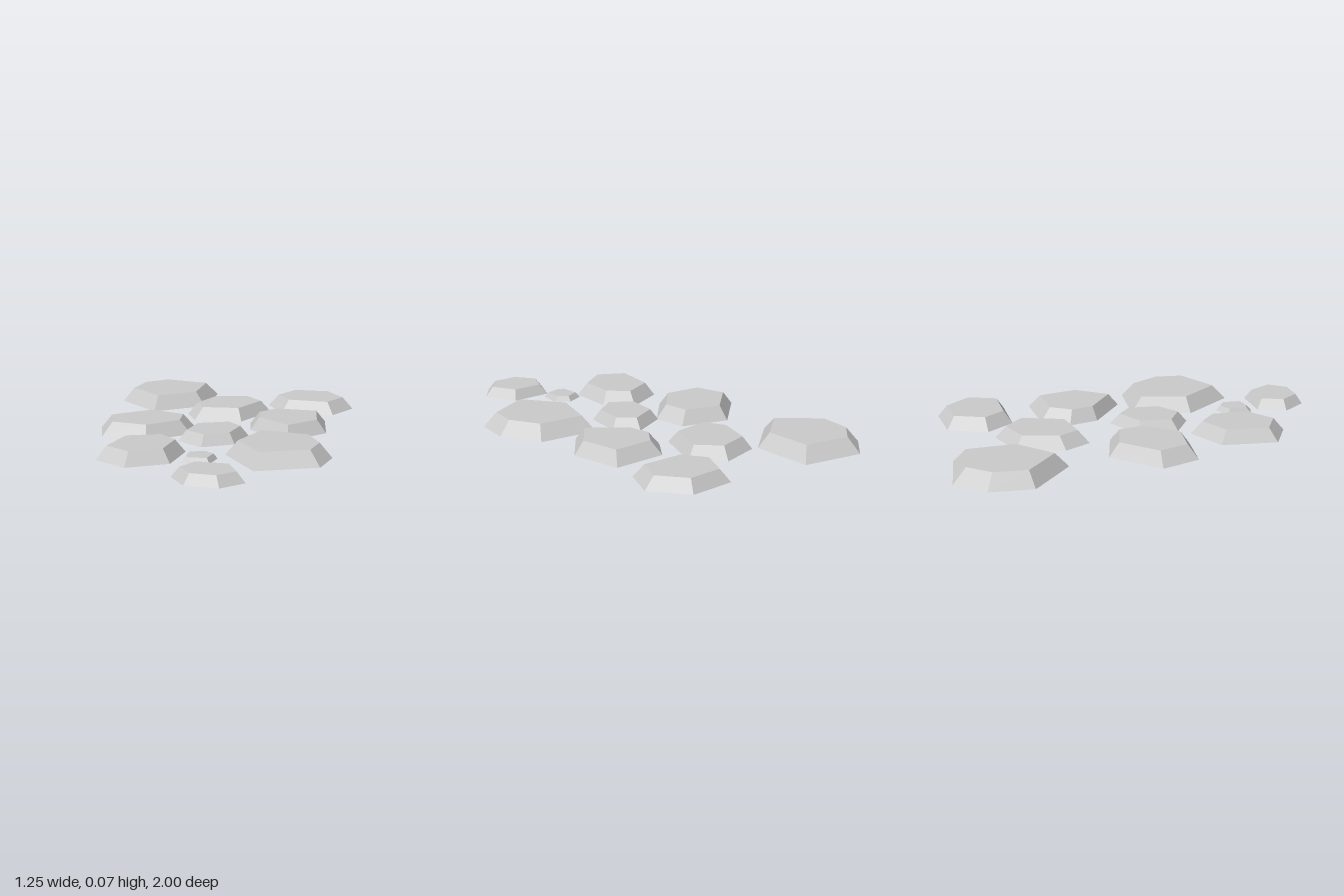
import * as THREE from 'three';

const MID_HEIGHT = 0.036; // every stone is centred on this level
const TOP_SCALE = 0.76;   // top face relative to the base outline

// Each stone: thickness, then its base outline as x, z pairs, clockwise from above
const STONES = [
  [0.072, [-0.45, -1, -0.15, -0.92, -0.17, -0.61, -0.41, -0.44, -0.63, -0.67, -0.59, -0.88]],
  [0.06, [0.27, -0.84, 0.5, -0.83, 0.62, -0.65, 0.53, -0.48, 0.26, -0.51, 0.17, -0.66]],
  [0.06, [0.08, -0.65, 0.2, -0.51, 0.08, -0.26, -0.16, -0.25, -0.22, -0.39, -0.13, -0.61]],
  [0.065, [0.23, -0.37, 0.5, -0.35, 0.53, -0.09, 0.36, 0.09, 0.15, -0.1, 0.13, -0.25]],
  [0.068, [-0.37, -0.23, -0.14, -0.14, -0.13, 0.03, -0.32, 0.2, -0.55, 0.15, -0.6, -0.05]],
  [0.052, [0.07, -0.06, 0.16, 0.04, 0.12, 0.23, -0.03, 0.31, -0.16, 0.21, -0.12, 0.01]],
  [0.072, [0.21, 0.11, 0.51, 0.17, 0.6, 0.37, 0.56, 0.55, 0.27, 0.66, 0.1, 0.39]],
  [0.064, [-0.2, 0.26, -0.09, 0.38, -0.12, 0.61, -0.31, 0.71, -0.47, 0.6, -0.41, 0.33]],
  [0.025, [0.03, 0.5, 0.09, 0.55, 0.07, 0.66, -0.02, 0.67, -0.06, 0.65, -0.06, 0.53]],
  [0.049, [0, 0.72, 0.2, 0.74, 0.27, 0.9, 0.17, 1, 0.01, 0.98, -0.07, 0.85]],
];

// Flat-topped stone with sloping sides and an open underside
function stoneGeometry(thickness, outline) {
  const base = [];
  for (let i = 0; i < outline.length; i += 2) {
    base.push(new THREE.Vector3(outline[i], MID_HEIGHT - thickness / 2, outline[i + 1]));
  }
  const centre = new THREE.Box3().setFromPoints(base).getCenter(new THREE.Vector3());
  const top = base.map((p) => {
    const q = p.clone().sub(centre).multiplyScalar(TOP_SCALE).add(centre);
    q.y = MID_HEIGHT + thickness / 2;
    return q;
  });
  centre.y = MID_HEIGHT + thickness / 2;

  const corners = [];
  base.forEach((p, i) => {
    const j = (i + 1) % base.length;
    corners.push(base[j], p, top[i], base[j], top[i], top[j]); // side
    corners.push(centre, top[j], top[i]); // slice of the top
  });
  const geometry = new THREE.BufferGeometry().setFromPoints(corners);
  geometry.computeVertexNormals();
  return geometry;
}

export function createModel() {
  const model = new THREE.Group();
  model.name = 'steppingStones';
  const material = new THREE.MeshStandardMaterial({
    color: 0xcccccc,
    flatShading: true,
    side: THREE.DoubleSide,
  });
  STONES.forEach(([thickness, outline], i) => {
    const stone = new THREE.Mesh(stoneGeometry(thickness, outline), material);
    stone.name = `stone${i + 1}`;
    model.add(stone);
  });
  return model;
}
